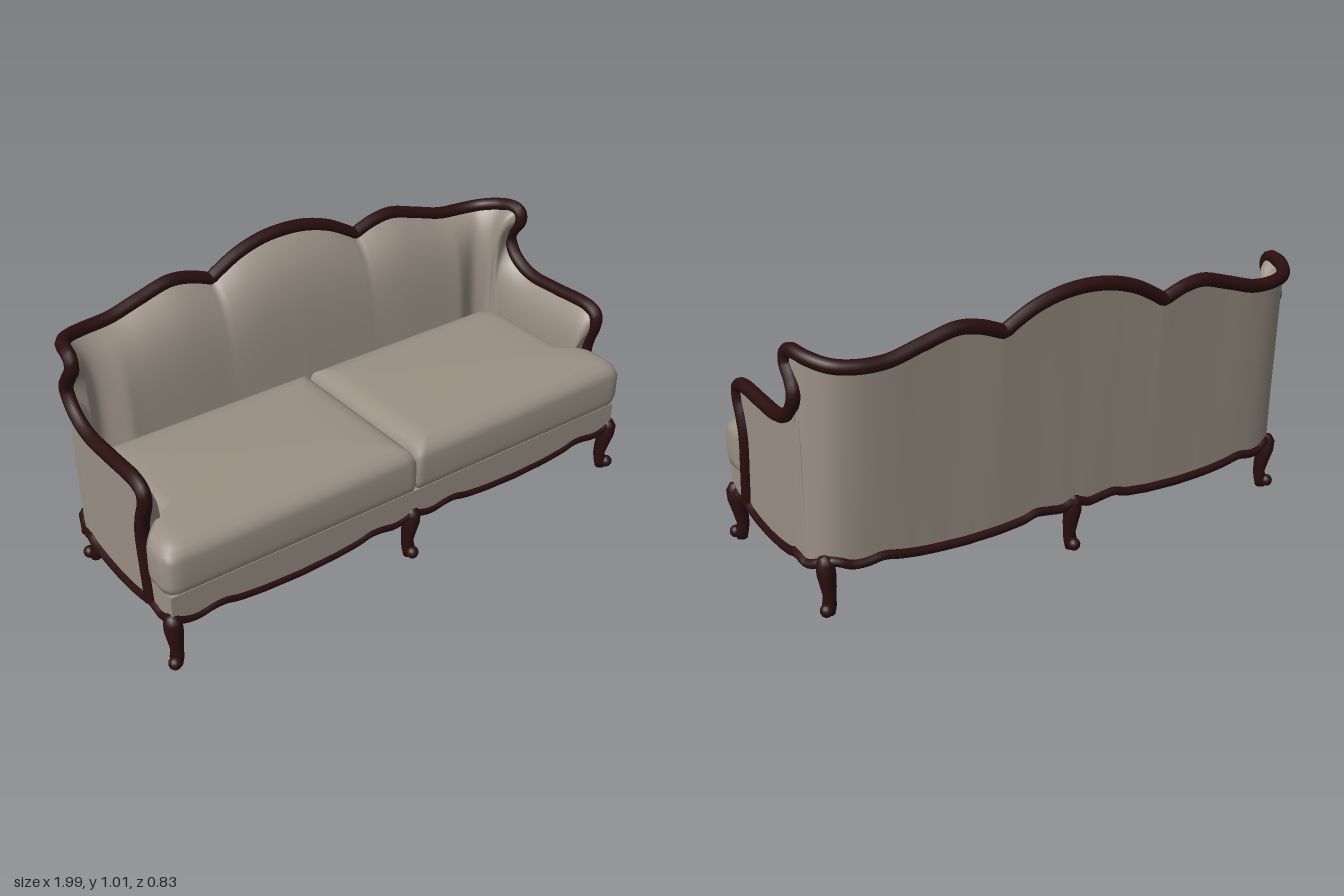
import * as THREE from 'three';

const fabric = new THREE.MeshStandardMaterial({ color: 0x9a9084, side: THREE.DoubleSide });
fabric.name = 'taupe fabric';
const wood = new THREE.MeshStandardMaterial({ color: 0x2a0f0e });
wood.name = 'dark wood';

const V = (x, y, z) => new THREE.Vector3(x, y, z);
const clamp = THREE.MathUtils.clamp;

// Rail keys from the left arm front to the middle of the back:
// x, y, z of the rail and z of the wall foot below it
const KEYS = [
  [.965, .19, .25, .25], [.965, .32, .235, .22], [.965, .45, .225, .19], [.965, .52, .24, .16],
  [.965, .575, .26, .13], [.965, .618, .258, .10], [.965, .64, .22, .08], [.965, .64, .05, 0],
  [.965, .64, -.08, -.08], [.965, .66, -.15, -.13], [.965, .70, -.205, -.16], [.965, .755, -.232, -.18],
  [.962, .80, -.21, -.2], [.962, .845, -.177, -.212], [.96, .88, -.182, -.222], [.956, .893, -.215, -.232],
  [.939, .885, -.28, -.265], [.893, .87, -.343, -.305], [.825, .862, -.373, -.325], [.72, .865, -.385, -.335],
  [.60, .898, -.388, -.337], [.48, .928, -.391, -.338], [.40, .918, -.393, -.339], [.34, .897, -.394, -.34],
  [.315, .888, -.394, -.34], [.285, .905, -.394, -.34], [.20, .95, -.396, -.34], [.10, .98, -.398, -.34],
  [0, .989, -.398, -.34],
];
// Bends the wall columns around the notch under each wing: key -> control y, z
const BENDS = { 12: [.7, -.25], 13: [.8, -.275], 14: [.8, -.275], 15: [.75, -.26] };

// Scalloped lower edge between two legs, u from -1 to 1
const SCALLOP = [[0, .16], [.3, .165], [.5, .175], [.62, .19], [.72, .186], [.82, .176], [.9, .18], [1, .198]];
function scallop(u) {
  const a = clamp(Math.abs(u), 0, 1);
  const i = clamp(SCALLOP.findIndex(p => p[0] >= a), 1, SCALLOP.length - 1);
  const [p, q] = [SCALLOP[i - 1], SCALLOP[i]];
  return THREE.MathUtils.lerp(p[1], q[1], (a - p[0]) / (q[0] - p[0]));
}
const frontEdge = x => scallop((Math.abs(x) - .48) / .48);
const wallEdge = (x, z) => z > -.28 ? scallop((z - .04) / .33) : scallop((Math.abs(x) - .44) / .45);

function mirrored(points) {
  const other = points.slice(0, -1).reverse().map(p => V(-p.x, p.y, p.z));
  return new THREE.CatmullRomCurve3([...points, ...other]);
}

const railCurve = mirrored(KEYS.map(k => V(k[0], k[1], k[2])));
const footCurve = mirrored(KEYS.map(k => V(k[0], .19, k[3])));
const bendCurve = mirrored(KEYS.map(([x, y, z, foot], i) => BENDS[i]
  ? V(x, ...BENDS[i]) : V(x, (y + .19) / 2, (z + foot) / 2)));

function footPoint(u) {
  const p = footCurve.getPoint(u);
  p.y = wallEdge(p.x, p.z);
  return p;
}

// Point on the wall: t = 0 at the rail, t = 1 at the foot
function wallPoint(u, t) {
  const s = 1 - t;
  return railCurve.getPoint(u).multiplyScalar(s * s)
    .addScaledVector(bendCurve.getPoint(u), 2 * s * t)
    .addScaledVector(footPoint(u), t * t);
}

// Padded inside of the wall, swelling away from the rail
function paddingPoint(u, v) {
  const t = Math.pow(v, 1.8);
  const p = wallPoint(u, t);
  const swell = 1 - Math.pow(1 - t, 8);
  const turn = clamp((Math.abs(p.x) - .72) / .23, 0, 1) * Math.PI / 2;
  p.x -= Math.sign(p.x) * .073 * Math.sin(turn) * swell;
  p.z += .115 * Math.cos(turn) * swell;
  return p;
}

// Smooth surface from a point function over a grid
function surface(nu, nv, pointAt) {
  const pos = [], index = [];
  for (let j = 0; j <= nv; j++) {
    for (let i = 0; i <= nu; i++) {
      pos.push(...pointAt(i / nu, j / nv, i, j).toArray());
      if (i < nu && j < nv) {
        const a = j * (nu + 1) + i, c = a + nu + 1;
        index.push(a, c, a + 1, a + 1, c, c + 1);
      }
    }
  }
  const g = new THREE.BufferGeometry();
  g.setAttribute('position', new THREE.Float32BufferAttribute(pos, 3));
  g.setIndex(index);
  g.computeVertexNormals();
  return g;
}

// Seat cushion, open below: notched plan outline stacked in rings of [inset, height]
function cushionGeometry(side) {
  const s = new THREE.Shape();
  s.moveTo(0, -.262);
  s.lineTo(.82, -.262);
  s.quadraticCurveTo(.895, -.262, .895, -.18);
  s.lineTo(.895, .22);
  s.quadraticCurveTo(.895, .255, .92, .255);
  s.lineTo(.95, .255);
  s.quadraticCurveTo(.984, .255, .984, .29);
  s.lineTo(.984, .36);
  s.quadraticCurveTo(.984, .404, .93, .404);
  s.lineTo(0, .404);
  s.closePath();
  const n = 120, outline = s.getSpacedPoints(n);
  const rings = [[.02, .29], [.006, .302], [0, .33], [0, .42], [.008, .442], [.022, .461],
    [.048, .477], [.09, .484], [.2, .486], [1, .488]];
  return surface(n, rings.length - 1, (u, v, i, j) => {
    const [inset, y] = rings[j];
    const x = .49 + (outline[i].x - .49) * Math.max(0, 1 - inset / .49);
    const z = .08 + (outline[i].y - .08) * Math.max(0, 1 - inset / .32);
    return V(side * x, y, z);
  });
}

// Curved leg: a turned profile of [y, radius, outward shift], with a scroll toe
function makeLeg(name, x, z, angle) {
  const rings = [[0, 0, 0], [0, .019, 0], [.03, .024, -.002], [.06, .022, -.008], [.1, .027, -.002],
    [.15, .032, .009], [.19, .031, .013], [.212, .021, .011], [.219, 0, .011]];
  const g = new THREE.LatheGeometry(rings.map(r => new THREE.Vector2(r[1], r[0])), 14);
  const pos = g.attributes.position;
  for (let i = 0; i < pos.count; i++) pos.setZ(i, pos.getZ(i) + rings[i % rings.length][2]);
  const toe = new THREE.Mesh(new THREE.SphereGeometry(.023, 14, 10), wood);
  toe.position.set(0, .023, .022);
  toe.name = 'toe';
  const shaft = new THREE.Mesh(g, wood);
  shaft.name = 'shaft';
  const leg = new THREE.Group();
  leg.add(shaft, toe);
  leg.position.set(x, 0, z);
  leg.rotation.y = angle;
  leg.name = name;
  return leg;
}

export function createModel() {
  const sofa = new THREE.Group();
  sofa.name = 'sofa';
  const add = (name, geometry, material) => {
    const m = new THREE.Mesh(geometry, material);
    m.name = name;
    sofa.add(m);
    return m;
  };

  // Upholstered back and arms
  add('outerWall', surface(312, 14, wallPoint), fabric);
  add('innerPadding', surface(312, 18, paddingPoint), fabric);

  // Front apron with scalloped lower edge
  const apron = new THREE.Shape();
  apron.moveTo(.968, .29);
  apron.lineTo(-.968, .29);
  for (let i = 0; i <= 64; i++) {
    const x = -.968 + 1.936 * i / 64;
    apron.lineTo(x, frontEdge(x));
  }
  apron.closePath();
  const panel = new THREE.ExtrudeGeometry(apron, { depth: .012, bevelEnabled: false });
  panel.translate(0, 0, .376);
  add('frontApron', panel, fabric);

  // Ledge under the cushions and the short side returns of the apron
  add('seatLedge', new THREE.BoxGeometry(1.93, .008, .135), fabric).position.set(0, .286, .315);
  for (const s of [1, -1]) {
    add('apronReturn', new THREE.BoxGeometry(.012, .105, .14), fabric).position.set(s * .962, .2375, .318);
  }

  // Seat cushions
  add('leftCushion', cushionGeometry(1), fabric);
  add('rightCushion', cushionGeometry(-1), fabric);

  // Carved rail over arms, wings and back
  add('topRail', new THREE.TubeGeometry(railCurve, 400, .0245, 10), wood);

  // Scalloped rail around the foot of the frame
  const loop = [];
  for (let i = 0; i <= 60; i++) {
    const x = -.955 + 1.91 * i / 60;
    loop.push(V(x, frontEdge(x), .38));
  }
  for (const z of [.35, .32, .285]) loop.push(V(.965, wallEdge(.965, z), z));
  for (let i = 0; i <= 104; i++) loop.push(footPoint(i / 104));
  for (const z of [.285, .32, .35]) loop.push(V(-.965, wallEdge(-.965, z), z));
  add('bottomRail', new THREE.TubeGeometry(new THREE.CatmullRomCurve3(loop, true), 420, .017, 8, true), wood);

  // Legs
  for (const [label, s] of [['Left', 1], ['Right', -1]]) {
    sofa.add(makeLeg('front' + label + 'Leg', s * .955, .37, s * Math.PI / 4));
    sofa.add(makeLeg('back' + label + 'Leg', s * .91, -.28, s * Math.PI * .75));
  }
  sofa.add(makeLeg('frontMiddleLeg', 0, .365, 0));
  sofa.add(makeLeg('backMiddleLeg', 0, -.317, Math.PI));

  return sofa;
}
